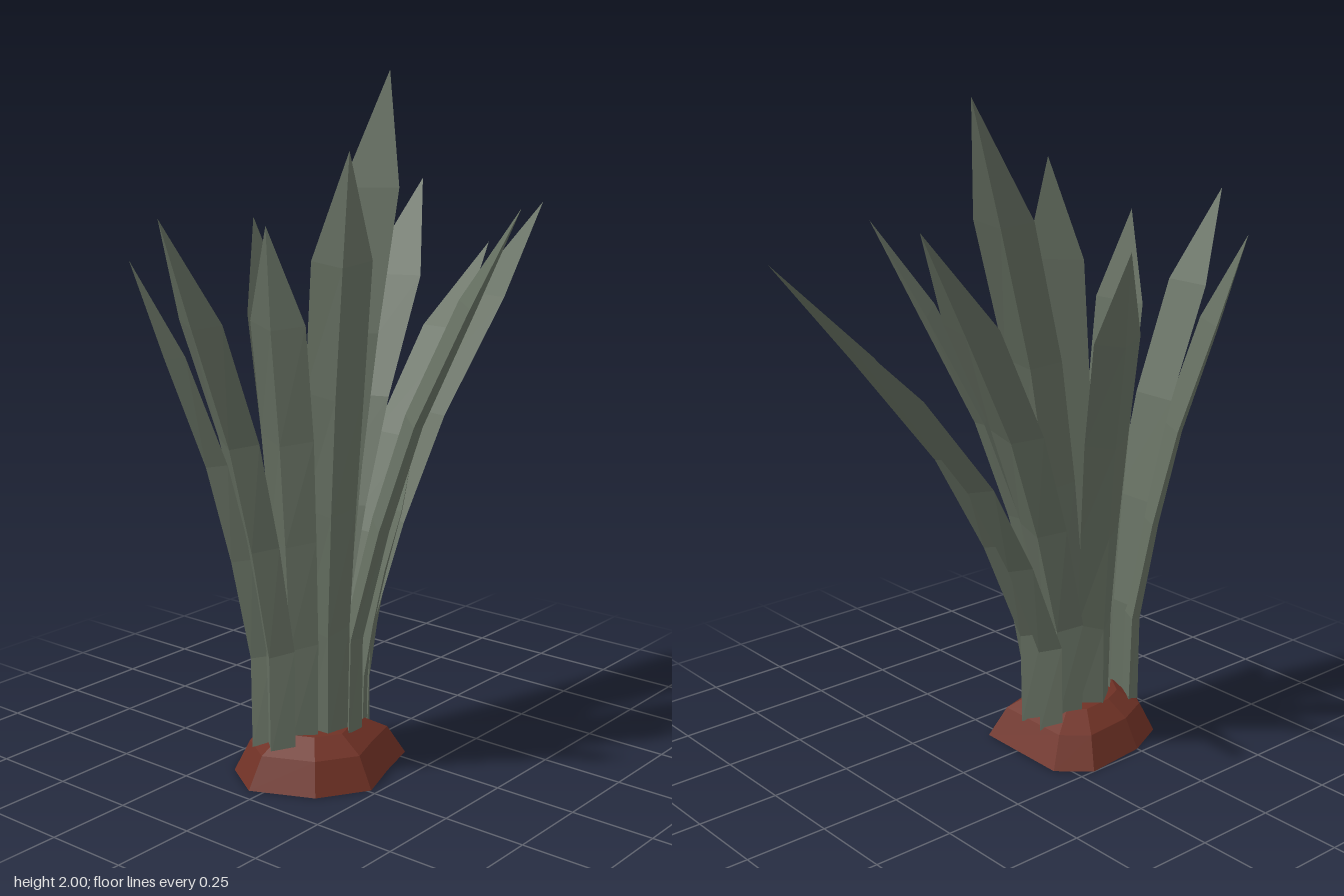
import * as THREE from 'three';

const leafMaterial = new THREE.MeshStandardMaterial({ color: 0x646e60, flatShading: true });
const soilMaterial = new THREE.MeshStandardMaterial({ color: 0x6f3125, flatShading: true });

function meshFrom(name, positions, indices, material) {
  const geometry = new THREE.BufferGeometry();
  geometry.setAttribute('position', new THREE.Float32BufferAttribute(positions, 3));
  geometry.setIndex(indices);
  geometry.computeVertexNormals();
  const mesh = new THREE.Mesh(geometry, material);
  mesh.name = name;
  return mesh;
}

// Shared leaf shape, from root to tip: height, outward bend, width and keel fractions
const RISE = [0, 0.19, 0.4, 0.6, 0.82, 1];
const BEND = [0, 0.01, 0.17, 0.37, 0.69, 1];
const WIDTH = [0.7, 0.76, 0.86, 0.97, 1, 0];
const KEEL = [0.045, 0.042, 0.04, 0.038, 0.034, 0];

// Solid blade: flat inner face and a keeled back, so each section is a triangle
function makeLeaf({ base, tip, facing, width }) {
  const angle = THREE.MathUtils.degToRad(facing);
  const outX = Math.cos(angle), outZ = Math.sin(angle);
  const positions = [], indices = [0, 1, 2];
  RISE.forEach((rise, i) => {
    const x = THREE.MathUtils.lerp(base[0], tip[0], BEND[i]);
    const y = THREE.MathUtils.lerp(base[1], tip[1], rise);
    const z = THREE.MathUtils.lerp(base[2], tip[2], BEND[i]);
    const half = WIDTH[i] * width / 2;
    for (const side of [-1, 0, 1]) {
      const out = KEEL[i] * (side === 0 ? 0.6 : -0.4);
      const drop = side === 0 ? KEEL[i] * 0.5 : 0;
      positions.push(x - outZ * half * side + outX * out, y - drop, z + outX * half * side + outZ * out);
    }
    if (i === 0) return;
    for (let j = 0; j < 3; j++) {
      const a = (i - 1) * 3 + j, b = (i - 1) * 3 + (j + 1) % 3;
      indices.push(a, a + 3, b, b, a + 3, b + 3);
    }
  });
  return meshFrom('leaf', positions, indices, leafMaterial);
}

// Uneven low mound: one outline shrunk towards the top in rings
function makeMound() {
  const outline = [
    [0.04, -0.17], [-0.05, -0.25], [-0.25, -0.23], [-0.38, -0.17], [-0.46, -0.04],
    [-0.38, 0.14], [-0.24, 0.23], [-0.1, 0.18], [0.035, 0.14],
  ];
  const rings = [[0, 1], [0.09, 0.8], [0.135, 0.5]];
  const n = outline.length, cx = -0.21, cz = -0.01;
  const positions = [], indices = [];
  for (const [y, scale] of rings) {
    for (const [x, z] of outline) positions.push(cx + (x - cx) * scale, y, cz + (z - cz) * scale);
  }
  const bottom = rings.length * n, top = bottom + 1, last = (rings.length - 1) * n;
  positions.push(cx, 0, cz, cx, 0.14, cz);
  for (let i = 0; i < n; i++) {
    const k = (i + 1) % n;
    for (let r = 0; r < last; r += n) {
      indices.push(r + i, r + k, r + n + k, r + i, r + n + k, r + n + i);
    }
    indices.push(bottom, k, i, top, last + i, last + k);
  }
  return meshFrom('soilMound', positions, indices, soilMaterial);
}

export function createModel() {
  const model = new THREE.Group();
  model.name = 'plant';
  model.add(makeMound());

  const leaves = new THREE.Group();
  leaves.name = 'leaves';
  // Facing is the heading in degrees, from +x towards +z
  const list = [
    { base: [-0.36, 0.11, -0.02], tip: [-0.79, 1.65, -0.01], facing: 180, width: 0.155 },
    { base: [-0.35, 0.11, -0.09], tip: [-0.74, 1.53, -0.17], facing: 207, width: 0.145 },
    { base: [-0.3, 0.13, 0], tip: [-0.46, 1.61, 0.05], facing: 173, width: 0.18 },
    { base: [-0.23, 0.13, 0.06], tip: [-0.15, 1.79, 0.08], facing: 137, width: 0.17 },
    { base: [-0.2, 0.12, -0.1], tip: [-0.07, 1.58, -0.35], facing: 270, width: 0.18 },
    { base: [-0.1, 0.12, -0.05], tip: [0.31, 2, -0.14], facing: -36, width: 0.17 },
    { base: [-0.14, 0.13, 0.08], tip: [0.29, 1.62, 0.35], facing: 45, width: 0.185 },
    { base: [-0.08, 0.12, -0.07], tip: [0.49, 1.67, -0.15], facing: -22, width: 0.175 },
    { base: [-0.03, 0.1, 0.02], tip: [0.79, 1.59, 0.1], facing: 11, width: 0.155 },
    { base: [-0.03, 0.1, -0.06], tip: [0.71, 1.46, -0.05], facing: 3, width: 0.15 },
    { base: [-0.06, 0.12, 0.05], tip: [0.15, 0.87, 0.07], facing: 20, width: 0.1 },
  ];
  for (const spec of list) leaves.add(makeLeaf(spec));
  model.add(leaves);
  return model;
}
